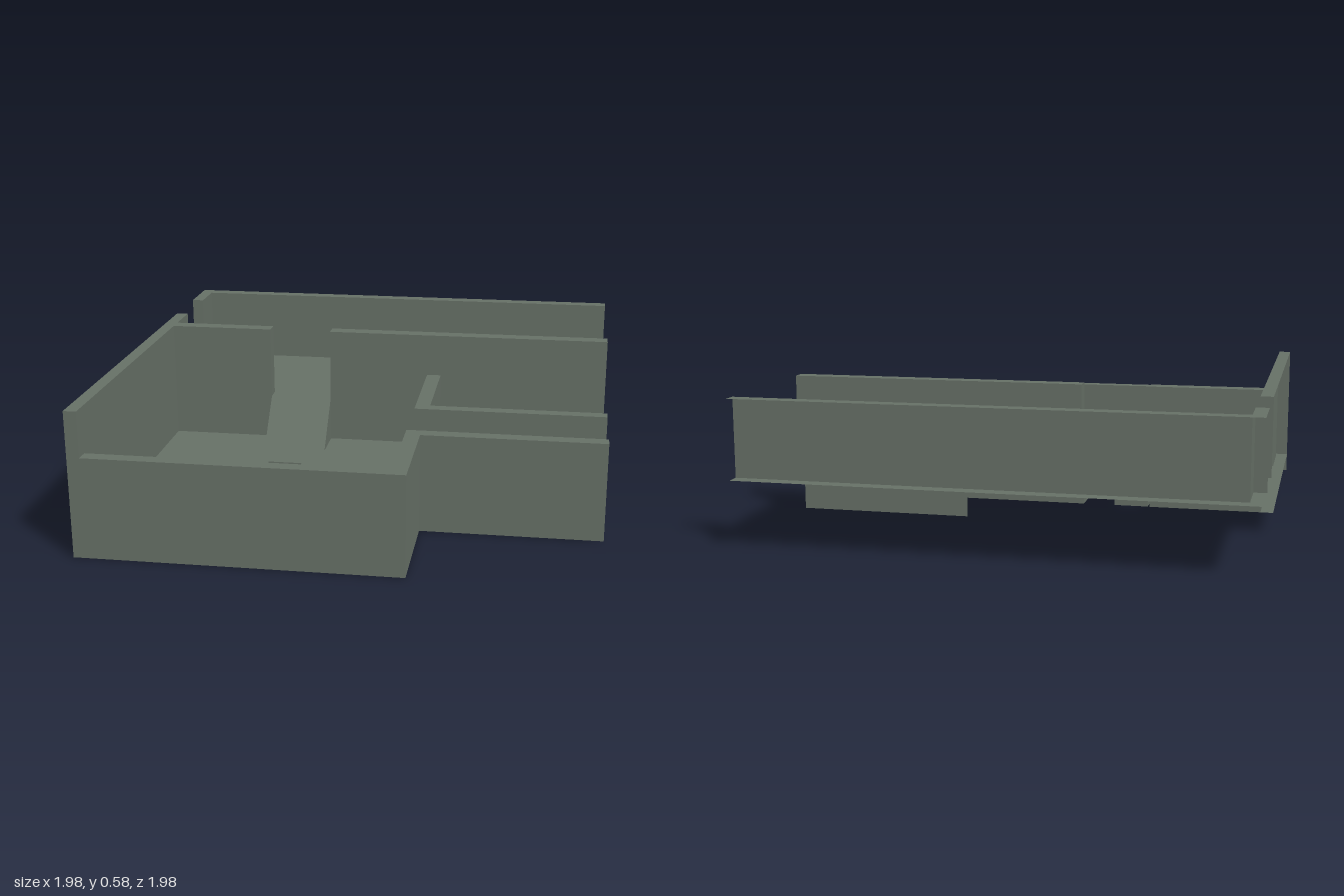
import * as THREE from 'three';

// Main levels and plan lines
const BASE = 0, LOW = 0.08, HIGH = 0.27, LOWTOP = 0.4, TOP = 0.58;
const W = -0.99, WI = -0.94, E = 0.99;      // west edge, west inner face, east edge
const RI = 0.21, RO = 0.27;                 // room east wall, inner and outer
const N = -0.99, NI = -0.935, M0 = -0.33, M = -0.27; // back wall and dividing wall
const S = 0.985, SI = 0.93;                 // front wall, outer and inner
const C = [0.17, 0.22, 0.49, 0.545];        // corridor wall lines
const D0 = -0.495, D1 = -0.225;             // doorway with ramp
const RAMP = -0.1;                          // foot of the ramp

export function createModel() {
  const model = new THREE.Group();
  const mat = new THREE.MeshStandardMaterial({ color: 0x667066, side: THREE.DoubleSide });
  mat.name = 'greyGreen';

  const add = (name, geo) => {
    const mesh = new THREE.Mesh(geo, mat);
    mesh.name = name;
    model.add(mesh);
  };

  // Flat polygon from 3D corners, counter-clockwise from its front
  const face = (name, pts) => {
    const geo = new THREE.BufferGeometry();
    geo.setAttribute('position', new THREE.Float32BufferAttribute(pts.flat(), 3));
    const idx = [];
    for (let i = 1; i < pts.length - 1; i++) idx.push(0, i, i + 1);
    geo.setIndex(idx);
    geo.computeVertexNormals();
    add(name, geo);
  };

  // Vertical sheets along a plan path; front is seen with the start on the left
  const wall = (name, path, y0, y1) => {
    for (let i = 0; i < path.length - 1; i++) {
      const [ax, az] = path[i], [bx, bz] = path[i + 1];
      face(name, [[ax, y0, az], [bx, y0, bz], [bx, y1, bz], [ax, y1, az]]);
    }
  };

  // Horizontal sheet from a plan outline, with optional rectangular holes
  const flat = (name, pts, y, holes = []) => {
    const v = (p) => p.map(([x, z]) => new THREE.Vector2(x, -z));
    const shape = new THREE.Shape(v(pts));
    holes.forEach((h) => shape.holes.push(new THREE.Path(v(h))));
    add(name, new THREE.ShapeGeometry(shape).rotateX(-Math.PI / 2).translate(0, y, 0));
  };
  const rect = (x0, x1, z0, z1) => [[x0, z0], [x0, z1], [x1, z1], [x1, z0]];

  // Floors, with two pits in the lower one and a notch under the ramp
  const pits = [rect(-0.44, -0.295, 0.07, 0.21), rect(-0.155, -0.01, 0.43, 0.57)];
  flat('upperFloor', rect(W, E, N, M), HIGH);
  flat('lowerFloor', [
    [W, M], [W, S], [RO, S], [RO, C[3]], [E, C[3]], [E, C[0]], [RO, C[0]], [RO, M],
    [D1, M], [D1, RAMP], [D0, RAMP], [D0, M],
  ], LOW, pits);
  pits.forEach((p) => wall('pitSide', [...p, p[0]], BASE, LOW));

  // Ramp and its triangular cheeks
  face('ramp', [[D0, LOW, RAMP], [D1, LOW, RAMP], [D1, HIGH, M], [D0, HIGH, M]]);
  face('rampSide', [[D1, LOW, RAMP], [D1, LOW, M], [D1, HIGH, M]]);
  face('rampSide', [[D0, LOW, M], [D0, LOW, RAMP], [D0, HIGH, M]]);

  // Back wall and its west return
  wall('backWall', [[WI, NI], [E, NI]], HIGH, TOP);
  wall('backReturn', [[W, -0.77], [WI, -0.77], [WI, NI]], HIGH, TOP);
  flat('backWallTop', [[W, N], [W, -0.77], [WI, -0.77], [WI, NI], [E, NI], [E, N]], TOP);

  // Dividing wall, both sides of the doorway
  wall('dividerNorth', [[E, M0], [D1, M0], [D1, M]], HIGH, TOP);
  wall('dividerNorth', [[D0, M], [D0, M0], [WI, M0], [WI, -0.5], [W, -0.5]], HIGH, TOP);
  wall('dividerSouth', [[WI, M], [D0, M]], LOW, TOP);
  wall('dividerSouth', [[D1, M], [RO, M]], LOW, TOP);
  wall('dividerSouth', [[RO, M], [E, M]], BASE, TOP);
  flat('dividerTop', rect(D1, E, M0, M), TOP);

  // West wall, joined to the short side of the divider
  wall('westWall', [[WI, SI], [WI, M]], LOW, TOP);
  wall('westWallEnd', [[W, S], [WI, S]], LOWTOP, TOP);
  wall('westWallStep', [[WI, S], [WI, SI]], LOWTOP, TOP);
  flat('westWallTop', [
    [W, -0.5], [W, S], [WI, S], [WI, M], [D0, M], [D0, M0], [WI, M0], [WI, -0.5],
  ], TOP);

  // Front wall, running on into the corridor's front side
  wall('frontOuter', [[W, S], [RO, S], [RO, C[3]], [E, C[3]]], BASE, LOWTOP);
  wall('frontInner', [[E, C[2]], [RI, C[2]], [RI, SI], [WI, SI]], LOW, LOWTOP);
  flat('frontTop', [
    [WI, SI], [WI, S], [RO, S], [RO, C[3]], [E, C[3]], [E, C[2]], [RI, C[2]], [RI, SI],
  ], LOWTOP);

  // East wall, running on into the corridor's back side
  wall('eastInner', [[RI, M], [RI, C[1]], [E, C[1]]], LOW, LOWTOP);
  wall('eastOuter', [[RO, C[0]], [RO, M]], LOW, LOWTOP);
  flat('eastTop', [[RI, M], [RI, C[1]], [E, C[1]], [E, C[0]], [RO, C[0]], [RO, M]], LOWTOP);

  return model;
}
